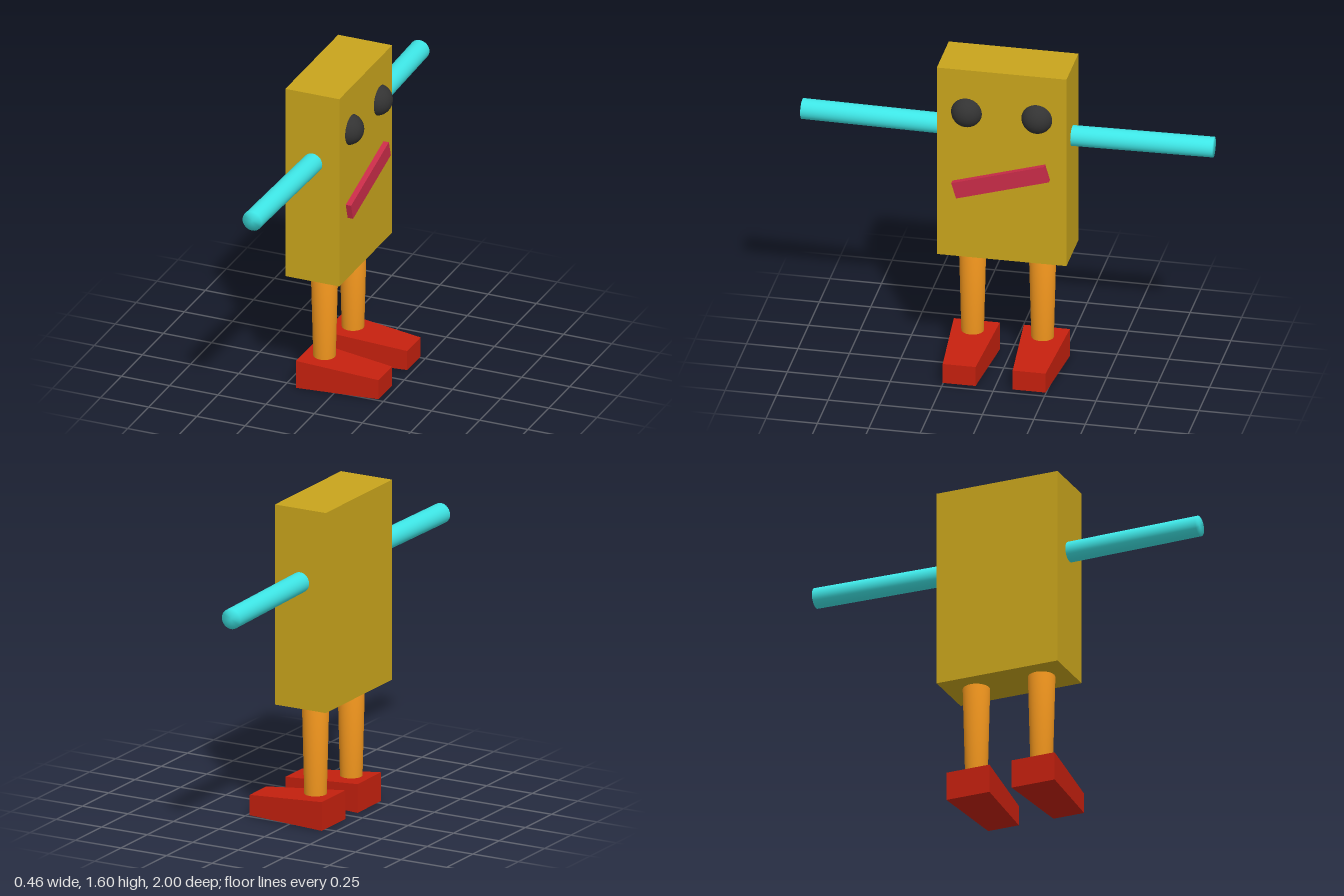
import * as THREE from 'three';
import { mergeVertices } from 'three/addons/utils/BufferGeometryUtils.js';

const mat = (color) => new THREE.MeshStandardMaterial({ color });

function addPart(group, name, geometry, material, x = 0, y = 0, z = 0) {
  const mesh = new THREE.Mesh(geometry, material);
  mesh.name = name;
  mesh.position.set(x, y, z);
  group.add(mesh);
  return mesh;
}

// Closed cylinder whose shading runs softly over the cap edges
function softCylinder(rTop, rBottom, height) {
  const g = new THREE.CylinderGeometry(rTop, rBottom, height, 32);
  g.deleteAttribute('normal');
  g.deleteAttribute('uv');
  const merged = mergeVertices(g);
  merged.computeVertexNormals();
  return merged;
}

// Wedge shoe: wide, tall heel narrowing towards the toe (+x)
function shoeGeometry() {
  const g = new THREE.BoxGeometry(0.415, 1, 1).toNonIndexed();
  const p = g.attributes.position;
  for (let i = 0; i < p.count; i++) {
    const toe = p.getX(i) > 0;
    const top = p.getY(i) > 0;
    p.setY(i, top ? (toe ? 0.108 : 0.143) : (toe ? 0.007 : 0));
    p.setZ(i, Math.sign(p.getZ(i)) * (toe ? 0.08 : 0.112));
  }
  g.computeVertexNormals();
  return g;
}

export function createModel() {
  const model = new THREE.Group();
  model.name = 'blockFigure';

  const gold = mat(0xc8a41c);
  const black = mat(0x333333);
  const pink = mat(0xc92c48);
  const cyan = mat(0x3ee6e6);
  const orange = mat(0xf5981e);
  const red = mat(0xc4200e);

  // Body and slanted mouth, facing +x
  addPart(model, 'body', new THREE.BoxGeometry(0.28, 0.995, 0.63), gold, -0.09, 1.0985, 0);
  const mouth = addPart(model, 'mouth', new THREE.BoxGeometry(0.05, 0.083, 0.47), pink, 0.053, 1.027, 0.002);
  mouth.rotation.x = 0.286;

  // Parts in pairs
  for (const s of [1, -1]) {
    const side = s > 0 ? 'near' : 'far';
    addPart(model, side + 'Eye', new THREE.SphereGeometry(0.077, 32, 20), black, 0.033, 1.37, s * 0.171);

    // Arm swept slightly backwards, from inside the body to the hand end
    const arm = addPart(model, side + 'Arm', softCylinder(0.05, 0.05, 0.74), cyan, -0.096, 1.23, s * 0.63);
    const dir = new THREE.Vector3(-0.024, 0, s).normalize();
    arm.quaternion.setFromUnitVectors(new THREE.Vector3(0, 1, 0), dir);

    addPart(model, side + 'Leg', softCylinder(0.066, 0.054, 0.477), orange, -0.09, 0.3815, s * 0.17);
    addPart(model, side + 'Shoe', shoeGeometry(), red, 0.0185, 0, s * 0.17);
  }
  return model;
}
